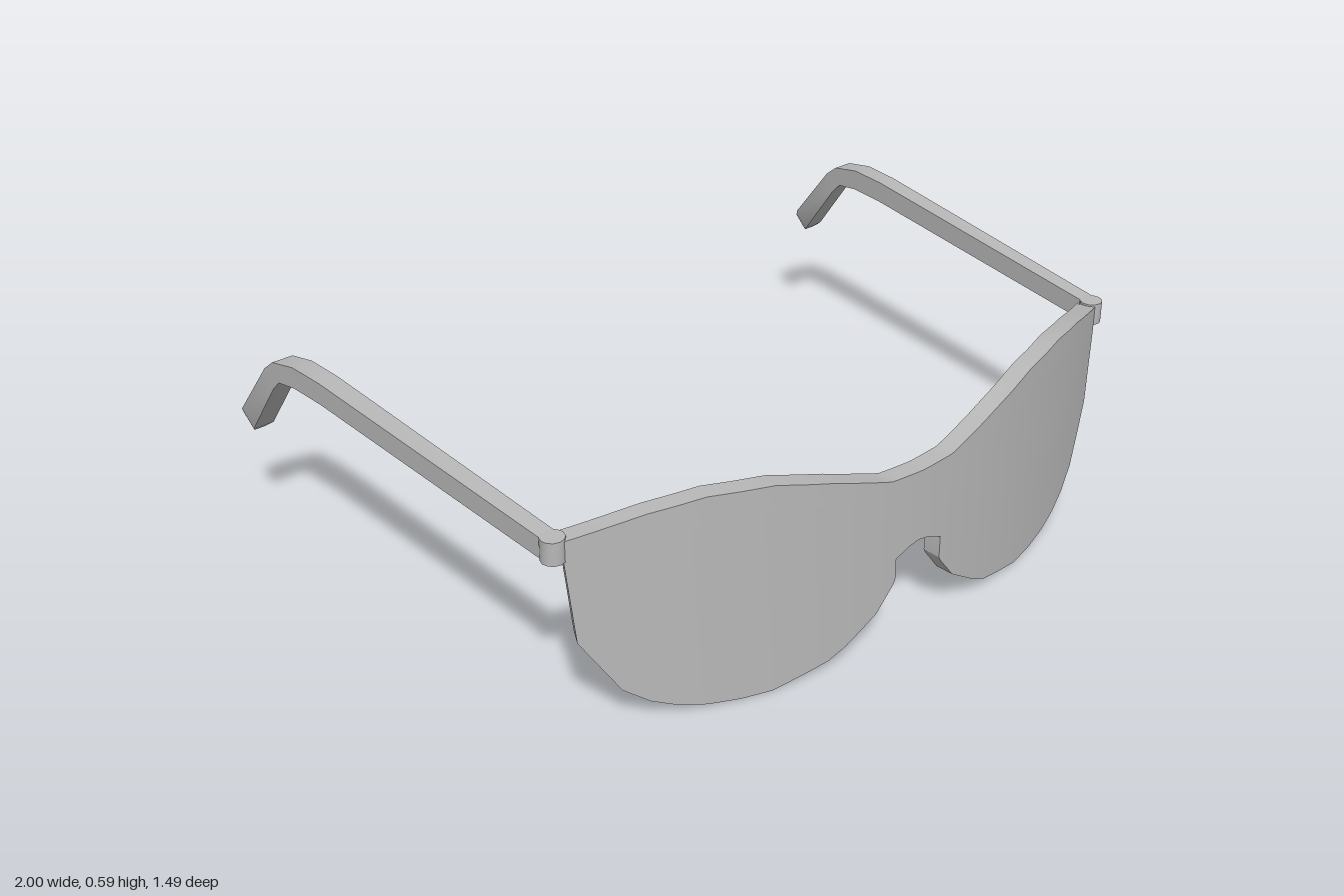
import * as THREE from 'three';
import { toCreasedNormals } from 'three/addons/utils/BufferGeometryUtils.js';

// Closed solid swept through four-cornered cross-sections, sharp edges kept
function loft(rings) {
  const pos = [];
  const quad = (a, b, c, d) => pos.push(...a, ...b, ...c, ...a, ...c, ...d);
  for (let i = 0; i < rings.length - 1; i++) {
    const r = rings[i], s = rings[i + 1];
    for (let k = 0; k < 4; k++) {
      const n = (k + 1) % 4;
      quad(r[k], r[n], s[n], s[k]);
    }
  }
  quad(...[...rings[0]].reverse());
  quad(...rings[rings.length - 1]);
  const geo = new THREE.BufferGeometry();
  geo.setAttribute('position', new THREE.Float32BufferAttribute(pos, 3));
  return toCreasedNormals(geo, 0.45);
}

// Height along a polyline, mirrored about x = 0
function heightAt(points, x) {
  const u = Math.abs(x);
  for (let i = 1; i < points.length; i++) {
    const [x0, y0] = points[i - 1], [x1, y1] = points[i];
    if (u <= x1 + 1e-6) return y0 + (y1 - y0) * (u - x0) / (x1 - x0);
  }
  return points[points.length - 1][1];
}

// Upper outline, border between frame and lens, lower outline of the lens
const TOP = [[0, 0.48], [0.1, 0.485], [0.27, 0.54], [0.42, 0.58], [0.58, 0.592], [0.72, 0.575], [0.88, 0.535]];
const SEAM = [[0, 0.285], [0.03, 0.28], [0.075, 0.26], [0.1, 0.38], [0.16, 0.44], [0.22, 0.47],
  [0.4, 0.51], [0.55, 0.52], [0.7, 0.515], [0.88, 0.485]];
const BOTTOM = [[0.075, 0.2], [0.08, 0.19], [0.13, 0.125], [0.25, 0.045], [0.44, 0.005], [0.62, 0.025],
  [0.71, 0.065], [0.77, 0.11], [0.86, 0.26], [0.88, 0.48]];
const COLUMNS = [0.075, 0.08, 0.1, 0.13, 0.16, 0.22, 0.27, 0.34, 0.42, 0.5, 0.58, 0.65, 0.71, 0.77, 0.82, 0.86, 0.88];
const THICK = 0.05;

// Curved plate between two outlines, bent around the face
function curvedPlate(xs, upper, lower) {
  return loft(xs.map((x) => {
    const z = 0.745 - 0.3 * x * x;
    const len = Math.hypot(0.6 * x, 1);
    const bx = x - THICK * 0.6 * x / len, bz = z - THICK / len;
    const t = heightAt(upper, x), b = heightAt(lower, x);
    return [[x, t, z], [x, b, z], [bx, b, bz], [bx, t, bz]];
  }));
}

// Temple sections: top z, top y, bottom z, bottom y, half width
const TEMPLE = [
  [0.49, 0.54, 0.49, 0.485, 0.022], [-0.35, 0.6, -0.35, 0.54, 0.027], [-0.46, 0.6, -0.46, 0.541, 0.028],
  [-0.55, 0.58, -0.53, 0.53, 0.029], [-0.59, 0.548, -0.56, 0.5, 0.029], [-0.73, 0.375, -0.682, 0.335, 0.029],
  [-0.746, 0.352, -0.703, 0.318, 0.016],
];

export function createModel() {
  const model = new THREE.Group();
  const grey = new THREE.MeshStandardMaterial({ color: 0xb8b8b8 });
  grey.name = 'grey';
  const add = (name, geo) => {
    const mesh = new THREE.Mesh(geo, grey);
    mesh.name = name;
    model.add(mesh);
    return mesh;
  };

  // Brow bar with bridge
  const half = [0.03, ...COLUMNS];
  add('browBarAndBridge', curvedPlate([...half.map((x) => -x).reverse(), 0, ...half], TOP, SEAM));

  for (const side of [1, -1]) {
    const label = side > 0 ? 'left' : 'right';

    // Lens flush with the frame
    const xs = COLUMNS.map((x) => side * x).sort((a, b) => a - b);
    add(label + 'Lens', curvedPlate(xs, SEAM, BOTTOM));

    // Hinge barrel
    const hinge = add(label + 'Hinge', toCreasedNormals(new THREE.CylinderGeometry(0.03, 0.03, 0.06, 12), 0.6));
    hinge.position.set(side * 0.89, 0.512, 0.488);

    // Temple with bent ear tip, splaying outwards to the back
    const centre = (z) => side * (0.891 + 0.079 * (0.49 - z) / 1.23);
    add(label + 'Temple', loft(TEMPLE.map(([tz, ty, bz, by, w]) => [
      [centre(tz) + w, ty, tz], [centre(bz) + w, by, bz],
      [centre(bz) - w, by, bz], [centre(tz) - w, ty, tz],
    ])));
  }
  return model;
}
